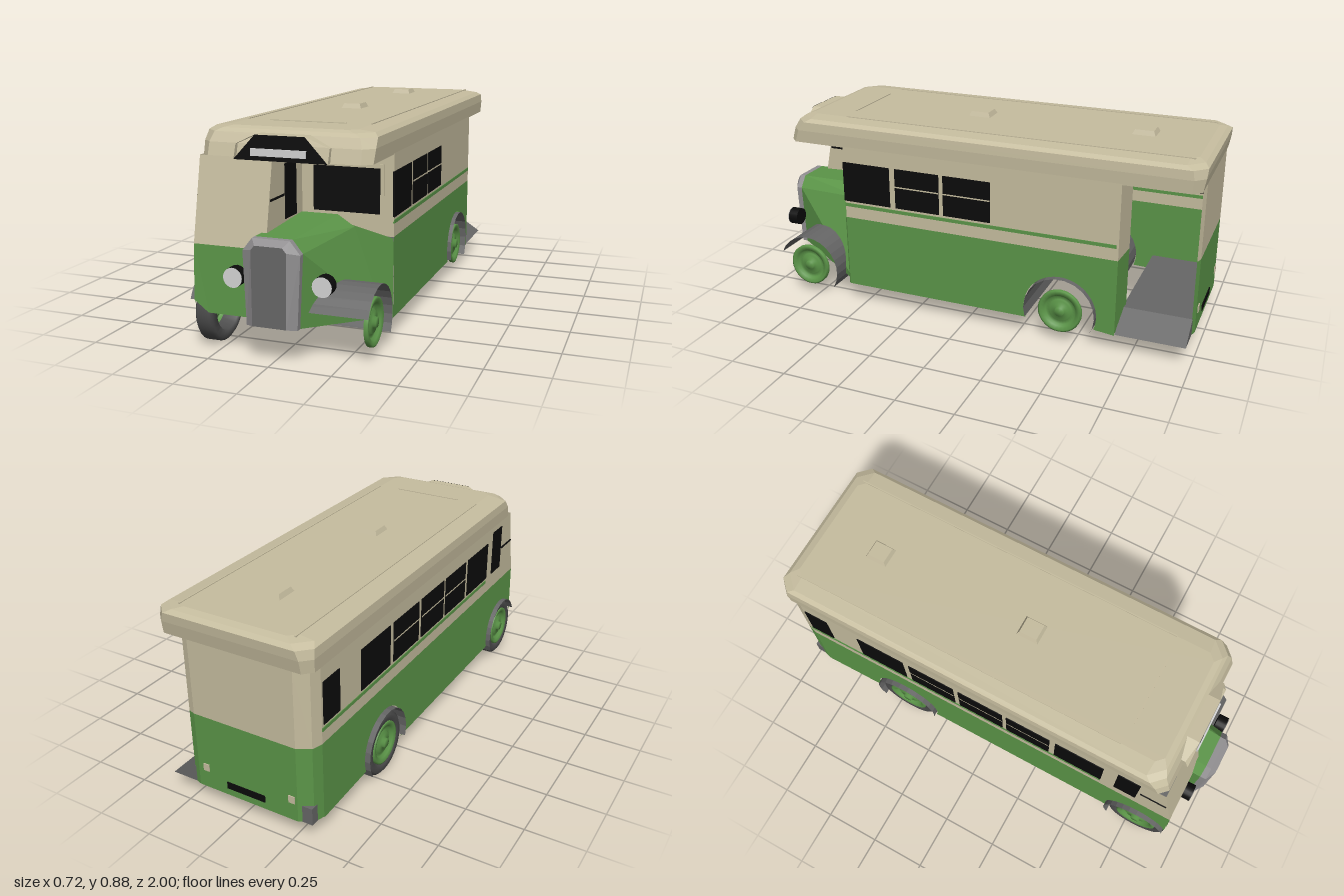
import * as THREE from 'three';

const mat = (name, color) => {
  const m = new THREE.MeshStandardMaterial({ color, side: THREE.DoubleSide });
  m.name = name;
  return m;
};

export function createModel() {
  const bus = new THREE.Group();
  bus.name = 'halfCabBus';
  const cream = mat('cream', 0xc6bd9f), green = mat('green', 0x5b9548), grey = mat('mudguardGrey', 0x676767),
    tyreGrey = mat('tyreGrey', 0x4c4c4c), chrome = mat('radiatorGrey', 0x918f91),
    black = mat('black', 0x0b0b0b), white = mat('lampWhite', 0xd4d4d4);

  const add = (name, geo, m) => {
    const mesh = new THREE.Mesh(geo, m);
    mesh.name = name;
    bus.add(mesh);
    return mesh;
  };
  // box given by its min and max corners
  const box = (name, m, [x0, x1], [y0, y1], [z0, z1]) =>
    add(name, new THREE.BoxGeometry(x1 - x0, y1 - y0, z1 - z0), m)
      .position.set((x0 + x1) / 2, (y0 + y1) / 2, (z0 + z1) / 2);
  // flat-shaded triangles from a list of corner points
  const tris = (name, m, pts) => {
    const g = new THREE.BufferGeometry();
    g.setAttribute('position', new THREE.Float32BufferAttribute(pts.flat(), 3));
    g.computeVertexNormals();
    return add(name, g, m);
  };
  const quad = (a, b, c, d) => [a, b, c, a, c, d];
  const poly = (name, m, pts) =>
    tris(name, m, pts.slice(2).flatMap((p, i) => [pts[0], pts[i + 1], p]));
  // closed strip between two matching rings
  const loft = (name, m, a, b, skip = -1) =>
    tris(name, m, a.flatMap((p, i) => {
      const j = (i + 1) % a.length;
      return i === skip ? [] : quad(p, a[j], b[j], b[i]);
    }));
  // upright wall following a plan path of [x, z]
  const wall = (name, m, path, y0, y1) =>
    tris(name, m, path.slice(1).flatMap(([x, z], i) => {
      const [px, pz] = path[i];
      return quad([px, y0, pz], [x, y0, z], [x, y1, z], [px, y1, pz]);
    }));
  // flat side panel drawn in z and y
  const side = (name, m, shape, x) =>
    add(name, new THREE.ShapeGeometry(shape, 20).rotateY(-Math.PI / 2), m).position.set(x, 0, 0);

  const R = 0.345, L = -0.34, WAIST = 0.42, EAVE = 0.75, BACK = -0.985;
  const FRONT_AXLE = 0.785, REAR_AXLE = -0.44;

  // Upper cream walls, with the rear platform left open on one side
  wall('upperWallLeft', cream, [[0.2, -0.69], [R, -0.68], [R, 0.57], [-0.04, 0.57]], WAIST, EAVE);
  const backPath = [[L, -0.91], [-0.325, -0.955], [-0.27, BACK], [0.2, BACK], [0.23, -0.975]];
  wall('upperWallRight', cream, [[L, 0.57], ...backPath], WAIST, EAVE);

  // Lower green walls with rear wheel arches
  const lowerSide = (zBack) => {
    const s = new THREE.Shape();
    const a = Math.asin(0.055 / 0.16);
    s.moveTo(0.57, 0.09);
    s.lineTo(0.57, WAIST);
    s.lineTo(zBack, WAIST);
    s.lineTo(zBack, 0.08);
    s.lineTo(REAR_AXLE - 0.16 * Math.cos(a), 0.09);
    s.absarc(REAR_AXLE, 0.145, 0.16, Math.PI + a, -a, true);
    return s;
  };
  side('lowerWallLeft', green, lowerSide(-0.68), R);
  side('lowerWallRight', green, lowerSide(-0.91), L);
  wall('lowerWallRear', green, backPath, 0.085, WAIST);
  wall('platformReturn', green, [[0.2, -0.69], [R, -0.68]], 0.09, WAIST);
  poly('bulkheadLower', green,
    [[-0.04, 0.09, 0.574], [R, 0.09, 0.574], [R, 0.415, 0.574], [0.18, 0.455, 0.574], [-0.04, 0.455, 0.574]]);

  // Rear platform with a sloping step
  const step = new THREE.Shape([[-0.33, 0.085], [R, 0.085], [0.23, 0.16], [-0.33, 0.16]]
    .map(p => new THREE.Vector2(...p)));
  add('rearPlatform', new THREE.ExtrudeGeometry(step, { depth: 0.295, bevelEnabled: false }), grey)
    .position.z = -0.977;

  // Half cab
  const cabUpper = new THREE.Shape([[0.57, WAIST], [0.915, WAIST], [0.845, EAVE], [0.57, EAVE]]
    .map(p => new THREE.Vector2(...p)));
  side('cabUpperOuter', cream, cabUpper, L);
  side('cabUpperInner', cream, cabUpper, -0.04);
  const cabLower = new THREE.Shape();
  cabLower.moveTo(0.915, WAIST);
  cabLower.lineTo(0.57, WAIST);
  cabLower.lineTo(0.57, 0.09);
  cabLower.absarc(0.78, 0.14, 0.15, Math.PI * 1.108, Math.PI / 12, true);
  side('cabLowerOuter', green, cabLower, L);
  poly('cabFrontUpper', cream,
    [[L, WAIST, 0.915], [-0.04, WAIST, 0.915], [-0.04, EAVE, 0.845], [L, EAVE, 0.845]]);
  poly('cabFrontLower', green,
    [[-0.28, 0.155, 0.927], [-0.09, 0.155, 0.927], [-0.04, WAIST, 0.915], [L, WAIST, 0.915], [L, 0.2, 0.927]]);

  // Roof: chamfered rings stacked from eave to crown
  const ring = (y, x, zb, zf, c) => [[-x, zb + c], [-x + c, zb], [x - c, zb], [x, zb + c],
    [x, zf - c], [x - c, zf], [-x + c, zf], [-x, zf - c]].map(([px, pz]) => [px, y, pz]);
  const rings = [ring(0.745, 0.343, -0.985, 0.845, 0.035), ring(0.8, 0.346, -0.995, 0.83, 0.04),
    ring(0.838, 0.343, -0.998, 0.81, 0.05), ring(0.852, 0.325, -0.98, 0.795, 0.06),
    ring(0.86, 0.26, -0.95, 0.77, 0.03)];
  for (let i = 1; i < rings.length; i++) loft('roofCove', cream, rings[i - 1], rings[i]);
  poly('roofCrown', cream, rings[4]);
  const vent = [[0.045, 0.86], [0.036, 0.88]];
  for (const z of [0.05, -0.685]) {
    const [lo, hi] = vent.map(([h, y]) =>
      [[-h, -h], [h, -h], [h, h], [-h, h]].map(([x, dz]) => [x - 0.005, y, z + dz * 1.1]));
    loft('roofVent', cream, lo, hi);
    poly('roofVentTop', cream, hi);
  }
  for (const x of [-0.26, 0.26]) box('roofGutter', cream, [x - 0.003, x + 0.003], [0.855, 0.863], [-0.94, 0.59]);
  box('roofSeam', cream, [-0.16, 0.16], [0.858, 0.863], [0.597, 0.603]);

  // Destination box
  const sign = (z) => [[-0.187, 0.745, z], [0.19, 0.745, z], [0.19, 0.8, z - 0.02], [0.1, 0.84, z - 0.005],
    [-0.1, 0.84, z - 0.005], [-0.187, 0.8, z - 0.02]];
  loft('destinationBox', cream, sign(0.78), sign(0.868));
  poly('destinationFace', black,
    [[-0.187, 0.745, 0.87], [0.19, 0.745, 0.87], [0.1, 0.84, 0.865], [-0.1, 0.84, 0.865]]);
  box('destinationBlind', white, [-0.115, 0.107], [0.762, 0.79], [0.867, 0.874]);

  // Windows, glazing bars and waist stripes
  const plate = (name, m, x, y, z, t = 0.004) => box(name, m, [x - t, x + t], y, z);
  const panes = [[0.345, 0.572], [0.11, 0.318], [-0.125, 0.09]];
  const pane = [0.5, 0.68];
  for (const z of panes) plate('sideWindowLeft', black, R, pane, z);
  for (const z of [...panes, [-0.37, -0.15], [-0.63, -0.4], [-0.9, -0.787]]) plate('sideWindowRight', black, L, pane, z);
  plate('innerWindow', black, L + 0.004, pane, [-0.77, -0.69], 0.003);
  for (const z of panes.slice(1)) plate('glazingBarLeft', cream, R, [0.595, 0.601], z, 0.0048);
  for (const z of [panes[1], panes[2], [-0.37, -0.15]]) plate('glazingBarRight', cream, L, [0.595, 0.601], z, 0.0048);
  plate('stripeLeft', green, R, [0.474, 0.489], [-0.67, 0.57], 0.003);
  plate('stripeRight', green, L, [0.474, 0.489], [-0.91, 0.57], 0.003);
  for (const x of [L, -0.04]) {
    plate('cabDoorWindow', black, x, [0.5, 0.715], [0.635, 0.738]);
    plate('cabWindowBar', black, x, [0.593, 0.601], [0.75, 0.87]);
  }
  box('bulkheadFrame', cream, [0, 0.305], [0.495, 0.705], [0.568, 0.574]);
  box('bulkheadWindow', black, [0.012, 0.29], [0.507, 0.688], [0.568, 0.577]);

  // Rear plate and lamps
  box('rearPlate', black, [-0.12, 0.06], [0.118, 0.148], [BACK - 0.004, BACK + 0.004]);
  for (const x of [0.16, -0.245])
    box('rearLamp', cream, [x - 0.014, x + 0.014], [0.165, 0.197], [BACK - 0.004, BACK + 0.004]);

  // Bonnet and radiator
  const at = (pts, z) => pts.map(([x, y]) => [x, y, z]);
  const nose = [[-0.095, 0.145], [-0.105, 0.43], [-0.065, 0.48], [0.085, 0.48], [0.125, 0.43], [0.11, 0.145]];
  const scuttle = [[-0.1, 0.09], [-0.1, 0.43], [-0.04, 0.495], [0.115, 0.495], [0.185, 0.45], [0.31, 0.09]];
  const core = [[-0.06, 0.152], [-0.06, 0.44], [-0.045, 0.458], [0.065, 0.458], [0.08, 0.44], [0.075, 0.152]];
  loft('bonnet', green, at(nose, 0.95), at(scuttle, 0.576), 5);
  poly('bonnetUndertray', tyreGrey,
    [[-0.095, 0.145, 0.95], [0.11, 0.145, 0.95], [0.31, 0.09, 0.576], [-0.1, 0.09, 0.576]]);
  loft('radiatorSurround', chrome, at(nose, 0.95), at(nose, 0.975));
  loft('radiatorFrame', chrome, at(nose, 0.975), at(core, 1));
  poly('radiatorCore', grey, at(core, 1));

  // Headlamps
  for (const x of [-0.157, 0.2]) {
    const can = new THREE.CylinderGeometry(0.039, 0.039, 0.045, 20).rotateX(Math.PI / 2);
    add('headlampShell', can, black).position.set(x, 0.315, 0.935);
    add('headlampLens', new THREE.CircleGeometry(0.039, 20), white).position.set(x, 0.315, 0.96);
  }

  // Full-width curved mudguards
  const mudguard = (name, z, y, r, a0, a1) => {
    const path = [];
    for (let i = 0; i <= 14; i++) {
      const a = a0 + (a1 - a0) * i / 14;
      path.push([y + r * Math.sin(a), z + r * Math.cos(a)]);
    }
    tris(name, grey, path.slice(1).flatMap(([py, pz], i) => {
      const [qy, qz] = path[i];
      return quad([-0.362, qy, qz], [0.362, qy, qz], [0.362, py, pz], [-0.362, py, pz]);
    }));
  };
  mudguard('frontMudguard', 0.78, 0.14, 0.15, 0.4, Math.PI + 0.55);
  mudguard('rearMudguard', REAR_AXLE, 0.145, 0.156, -0.3, Math.PI + 0.6);

  // Wheels: dished hubs on both sides, tyres on the cab side
  const lathe = (pts) => new THREE.LatheGeometry(pts.map(p => new THREE.Vector2(...p)), 28);
  const hub = lathe([[0, 0.352], [0.02, 0.352], [0.022, 0.338], [0.045, 0.338], [0.05, 0.33], [0.066, 0.33],
    [0.072, 0.342], [0.088, 0.348], [0.096, 0.345], [0.096, 0.33]]);
  const tyre = lathe([[0.096, 0.335], [0.105, 0.345], [0.128, 0.345], [0.14, 0.335], [0.14, 0.28],
    [0.128, 0.27], [0.096, 0.27], [0.096, 0.335]]);
  for (const z of [FRONT_AXLE, REAR_AXLE]) {
    for (const s of [-1, 1]) {
      const h = add('wheelHub', hub, green);
      h.rotation.z = -s * Math.PI / 2;
      h.position.set(0, 0.145, z);
    }
    const t = add('tyre', tyre, tyreGrey);
    t.rotation.z = Math.PI / 2;
    t.position.set(0, 0.14, z);
  }
  return bus;
}
